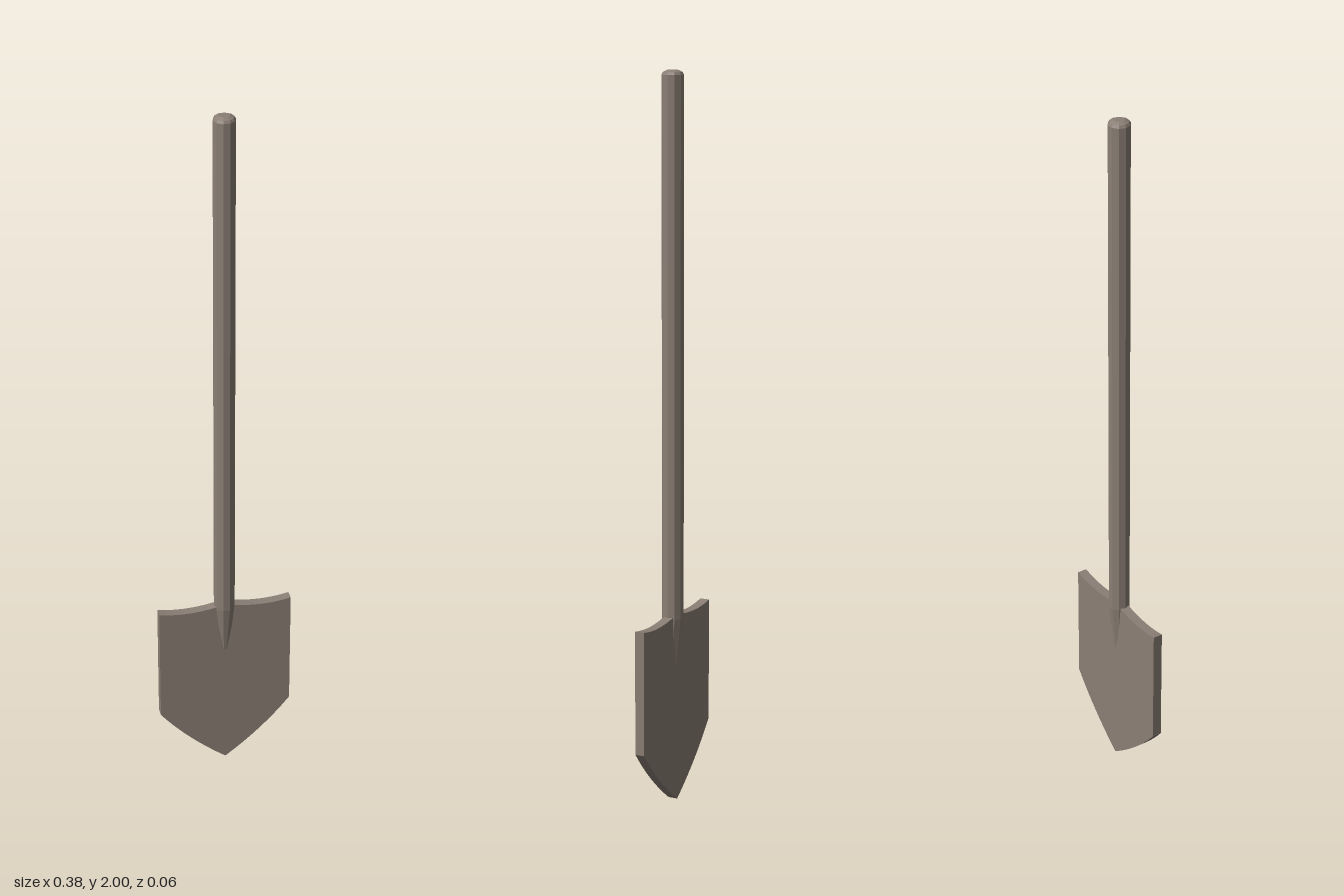
import * as THREE from 'three';

export function createModel() {
  const group = new THREE.Group();
  const material = new THREE.MeshStandardMaterial({ color: 0x8b7f75 });
  material.name = 'weathered grey brown';
  material.flatShading = true;

  // Ten-sided shaft with a bevelled top and a spike tapering into the blade
  const profile = [
    [0, 0.25], [0.03, 0.52], [0.03, 1.988], [0.026, 1.995], [0.015, 2], [0, 2],
  ].map(([r, y]) => new THREE.Vector2(r, y));
  const handle = new THREE.Mesh(
    new THREE.LatheGeometry(profile, 10, Math.PI / 2), material);
  handle.name = 'handle';
  group.add(handle);

  // Flat blade: two shallow scallops on top, curved edges meeting in a point
  const halfWidth = 0.188, shoulder = 0.18, top = 0.525, thickness = 0.027;
  const outline = new THREE.Shape();
  outline.moveTo(0, 0);
  outline.quadraticCurveTo(0.11, 0.08, halfWidth, shoulder);
  outline.lineTo(halfWidth, top);
  outline.quadraticCurveTo(0.1, 0.506, 0, top + 0.006);
  outline.quadraticCurveTo(-0.1, 0.506, -halfWidth, top);
  outline.lineTo(-halfWidth, shoulder);
  outline.quadraticCurveTo(-0.11, 0.08, 0, 0);
  const bladeGeometry = new THREE.ExtrudeGeometry(outline, {
    depth: thickness, bevelEnabled: false, curveSegments: 8,
  });
  bladeGeometry.translate(0, 0, -thickness / 2);
  const blade = new THREE.Mesh(bladeGeometry, material);
  blade.name = 'blade';
  group.add(blade);

  return group;
}
